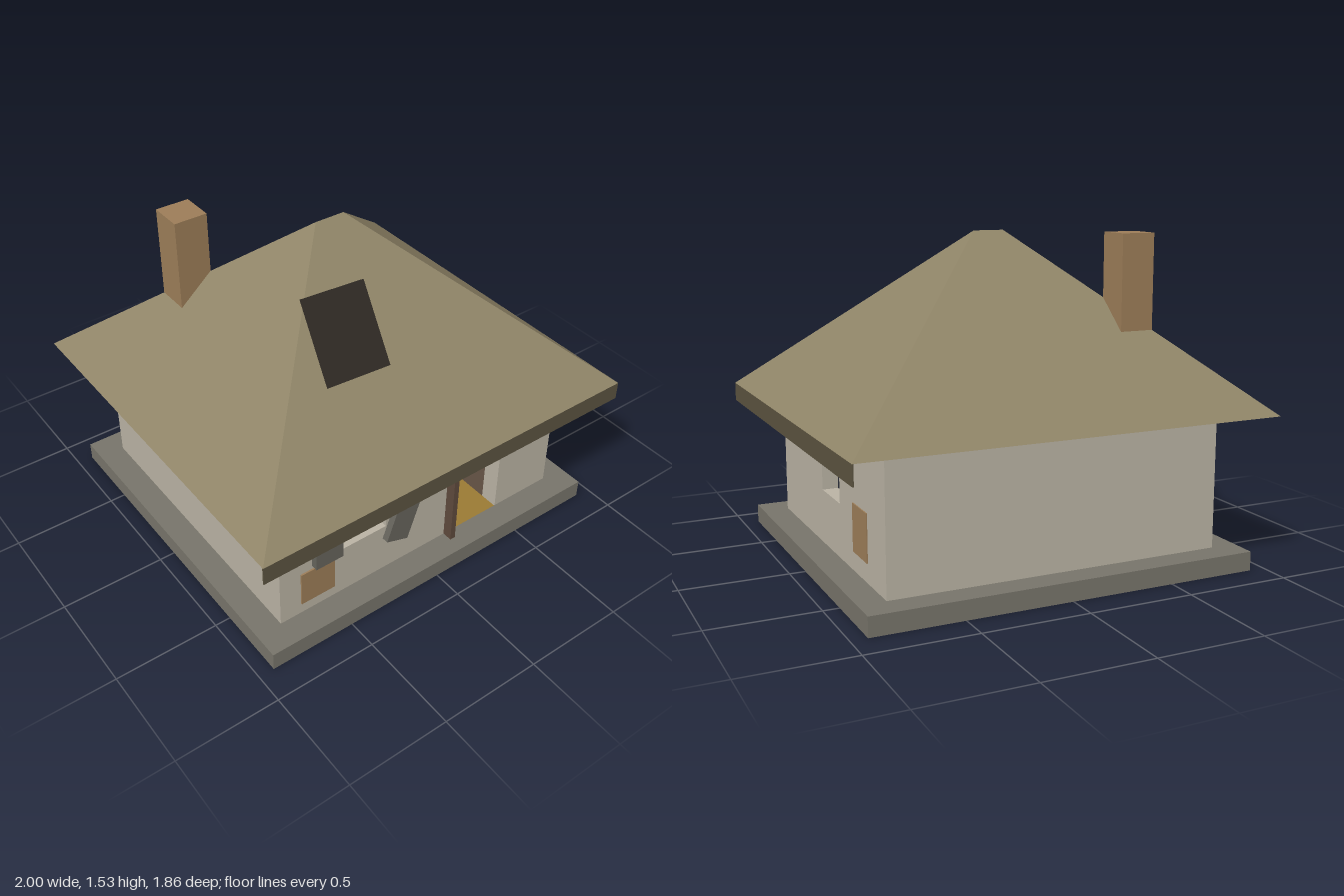
import * as THREE from 'three';

const mat = (color) => new THREE.MeshStandardMaterial({ color, flatShading: true, side: THREE.DoubleSide });
const M = {
  wall: mat(0xbab3a4), roof: mat(0x8f8467), fascia: mat(0x5c5440), stone: mat(0x77746a),
  wood: mat(0x5e4a3c), plank: mat(0x9c7d58), glass: mat(0x2c2f3a), shutter: mat(0x66645c),
  hole: mat(0x2b2620), floor: mat(0x5a4a3e), straw: mat(0x9a7a34), blue: mat(0x3a5478),
};
const T = 0.09; // wall thickness

export function createModel() {
  const house = new THREE.Group();
  house.name = 'house';

  const add = (name, geometry, material) => {
    const m = new THREE.Mesh(geometry, material);
    m.name = name;
    house.add(m);
    return m;
  };
  // Box given by its lower and upper limits on each axis
  const box = (name, material, x0, x1, y0, y1, z0, z1) => {
    const m = add(name, new THREE.BoxGeometry(x1 - x0, y1 - y0, z1 - z0), material);
    m.position.set((x0 + x1) / 2, (y0 + y1) / 2, (z0 + z1) / 2);
    return m;
  };
  const rect = (Type, x0, x1, y0, y1) =>
    new Type([[x0, y0], [x1, y0], [x1, y1], [x0, y1]].map(([x, y]) => new THREE.Vector2(x, y)));
  const extrude = (shape, depth) => new THREE.ExtrudeGeometry(shape, { depth, bevelEnabled: false });
  // Flat faces from corner loops, each fanned into triangles
  const faces = (loops) => {
    const pos = [];
    for (const l of loops)
      for (let i = 1; i < l.length - 1; i++) pos.push(...l[0], ...l[i], ...l[i + 1]);
    const g = new THREE.BufferGeometry();
    g.setAttribute('position', new THREE.Float32BufferAttribute(pos, 3));
    g.computeVertexNormals();
    return g;
  };

  // Stone plinth framing the walls, and the floor inside
  const plinth = rect(THREE.Shape, -0.925, 0.925, -0.855, 0.855);
  plinth.holes.push(rect(THREE.Path, -0.8, 0.8, -0.73, 0.73));
  add('plinth', extrude(plinth, 0.09).rotateX(-Math.PI / 2), M.stone);
  box('floor', M.floor, -0.71, 0.71, 0.003, 0.06, -0.64, 0.64);
  box('doorMat', M.straw, 0.16, 0.47, 0.06, 0.085, 0.3, 0.73);

  // Front wall with a door notch and a window
  const front = new THREE.Shape(
    [[-0.8, 0], [0.15, 0], [0.15, 0.68], [0.47, 0.68], [0.47, 0], [0.8, 0], [0.8, 0.73], [-0.8, 0.73]]
      .map(([x, y]) => new THREE.Vector2(x, y)));
  front.holes.push(rect(THREE.Path, -0.48, -0.22, 0.35, 0.585));
  add('frontWall', extrude(front, T), M.wall).position.z = 0.73 - T;
  box('frontPane', M.glass, -0.48, -0.22, 0.35, 0.585, 0.645, 0.655);

  // Right wall with a window
  const side = rect(THREE.Shape, -0.73 + T, 0.73 - T, 0, 0.73);
  side.holes.push(rect(THREE.Path, -0.11, 0.145, 0.345, 0.585));
  const sideWall = add('sideWall', extrude(side, T), M.wall);
  sideWall.rotation.y = Math.PI / 2;
  sideWall.position.x = 0.8 - T;
  box('sidePane', M.glass, 0.715, 0.725, 0.345, 0.585, -0.145, 0.11);

  // Plain walls
  box('backWall', M.wall, -0.8, 0.8, 0, 0.73, -0.73, -0.73 + T);
  box('plainSideWall', M.wall, -0.8, -0.8 + T, 0, 0.73, -0.73 + T, 0.73 - T);

  // Door standing open inwards
  box('door', M.wood, 0.14, 0.168, 0.09, 0.66, 0.48, 0.78);

  // Shutters, one hanging loose
  box('shutter', M.shutter, -0.63, -0.485, 0.35, 0.582, 0.732, 0.765);
  const loose = box('looseShutter', M.shutter, -0.205, -0.08, 0.258, 0.482, 0.732, 0.765);
  loose.rotation.z = -0.33;

  // Boards nailed over the walls
  box('frontBoardLow', M.plank, -0.69, -0.51, 0.15, 0.33, 0.728, 0.738);
  box('frontBoardHigh', M.plank, 0.545, 0.69, 0.44, 0.65, 0.728, 0.738);
  box('sideBoard', M.plank, 0.795, 0.805, 0.18, 0.4, -0.51, -0.33);

  // Furniture
  box('bed', M.plank, -0.7, -0.2, 0.004, 0.17, -0.62, -0.1);
  box('bench', M.wood, -0.15, 0.55, 0.06, 0.18, -0.62, -0.35);
  box('chest', M.blue, 0.452, 0.7, 0.004, 0.22, -0.08, 0.33);

  // Hipped roof with a short ridge
  const [a, b, c, d] = [[-1, 0.73, 0.928], [1, 0.73, 0.928], [1, 0.73, -0.928], [-1, 0.73, -0.928]];
  const [r0, r1] = [[-0.075, 1.53, 0], [0.075, 1.53, 0]];
  add('roof', faces([[a, b, r1, r0], [b, c, r1], [c, d, r0, r1], [d, a, r0]]), M.roof);

  // Fascia boards on the front and one side
  box('frontFascia', M.fascia, -1, 1, 0.64, 0.73, 0.922, 0.928);
  box('sideFascia', M.fascia, 0.994, 1, 0.64, 0.73, -0.928, 0.922);

  // Dark patch lying on the front slope
  add('roofPatch', faces([[[-0.4, 1.09, 0.53], [-0.075, 1.08, 0.545], [0, 1.338, 0.25], [-0.33, 1.35, 0.235]]]), M.hole);

  // Chimney
  box('chimney', M.plank, -0.583, -0.42, 0.95, 1.53, -0.51, -0.347);

  return house;
}
